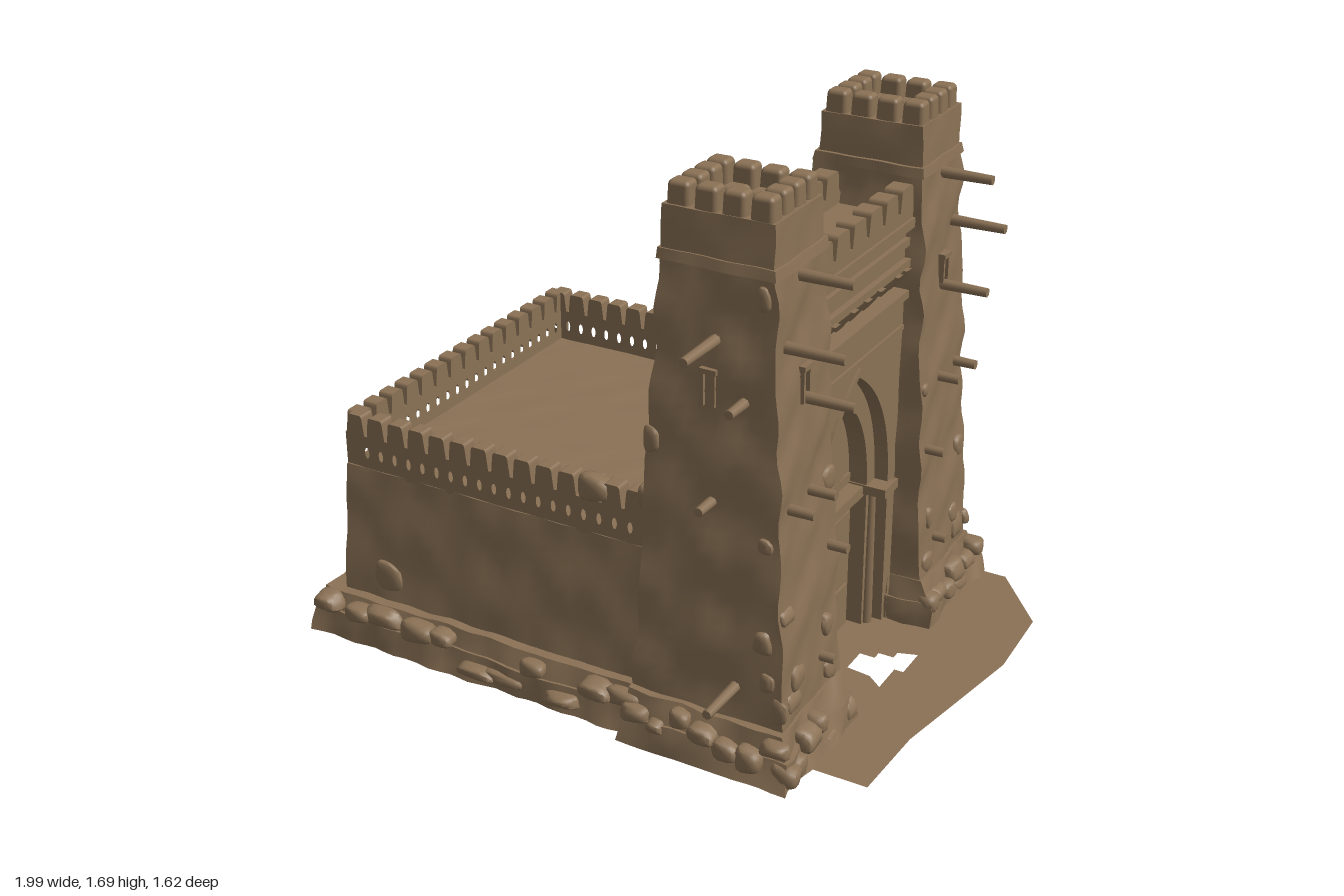
import * as THREE from 'three';
import { toCreasedNormals } from 'three/addons/utils/BufferGeometryUtils.js';
import { RoundedBoxGeometry } from 'three/addons/geometries/RoundedBoxGeometry.js';

export function createModel() {
  const root = new THREE.Group();
  root.name = 'desertFort';
  const clay = new THREE.MeshStandardMaterial({ color: 0x8a7155 });
  clay.name = 'clay';
  const clayThin = new THREE.MeshStandardMaterial({ color: 0x8a7155, side: THREE.DoubleSide });
  clayThin.name = 'clayThin';

  let seed = 7;
  const rnd = () => (seed = (seed * 16807) % 2147483647) / 2147483647;
  const span = (a, b) => a + (b - a) * rnd();

  const add = (name, geo, parent = root, mat = clay) => {
    const m = new THREE.Mesh(geo, mat);
    m.name = name;
    parent.add(m);
    return m;
  };

  // Weathered surface: smooth offsets that depend only on position
  const rough = (geo, amp) => {
    const p = geo.attributes.position;
    const n = (x, y, z) => Math.sin(23 * x + 9 * y + 1) * Math.sin(19 * y + 11 * z) +
      0.6 * Math.sin(41 * z + 13 * x) * Math.sin(37 * y + 17 * x + 2);
    for (let i = 0; i < p.count; i++) {
      const x = p.getX(i), y = p.getY(i), z = p.getZ(i);
      p.setXYZ(i, x + amp * n(x, y, z), Math.max(0, y + 0.4 * amp * n(z, x, y)), z + amp * n(y + 2, z, x));
    }
    return toCreasedNormals(geo, 0.7);
  };

  // Block tapering from rectangle b to rectangle t, each [x0, x1, z0, z1]
  const taper = (name, y0, y1, b, t = b, parent = root, amp = 0, seg = [1, 1, 1]) => {
    const geo = new THREE.BoxGeometry(1, 1, 1, ...seg);
    const p = geo.attributes.position;
    const mix = THREE.MathUtils.lerp;
    for (let i = 0; i < p.count; i++) {
      const u = p.getX(i) + 0.5, v = p.getY(i) + 0.5, w = p.getZ(i) + 0.5;
      p.setXYZ(i, mix(mix(b[0], b[1], u), mix(t[0], t[1], u), v), mix(y0, y1, v),
        mix(mix(b[2], b[3], w), mix(t[2], t[3], w), v));
    }
    geo.computeVertexNormals();
    return add(name, amp ? rough(geo, amp) : geo, parent);
  };

  const rock = (name, x, y, z, sx, sy, sz, parent = root) => {
    const geo = new THREE.IcosahedronGeometry(1, 2);
    const p = geo.attributes.position, k = rnd() * 9;
    for (let i = 0; i < p.count; i++) {
      const a = p.getX(i), b = p.getY(i), c = p.getZ(i);
      const f = 1 + 0.13 * Math.sin(3 * a + k) * Math.cos(3 * b - k) + 0.08 * Math.sin(4 * c + 2 * k);
      const sq = (q) => Math.sign(q) * Math.pow(Math.abs(q), 0.7) * f;
      p.setXYZ(i, x + sx * sq(a), Math.max(0.004, y + sy * sq(b)), z + sz * sq(c));
    }
    add(name, toCreasedNormals(geo, 0.8), parent);
  };

  const pole = (x0, y0, z0, x1, y1, z1, parent, r = 0.015) => {
    const a = new THREE.Vector3(x0, y0, z0), b = new THREE.Vector3(x1, y1, z1);
    const m = add('beamEnd', new THREE.CylinderGeometry(r * 0.75, r, a.distanceTo(b), 8), parent);
    m.position.copy(a).lerp(b, 0.5);
    m.quaternion.setFromUnitVectors(new THREE.Vector3(0, 1, 0), b.sub(a).normalize());
  };

  const extrude = (shape, depth) => new THREE.ExtrudeGeometry(shape, { depth, bevelEnabled: false, curveSegments: 14 });

  // Parapet strip with rounded merlons and optional loopholes
  const parapet = (len, n, y0, notch, top, thick, holeY) => {
    const s = new THREE.Shape(), w = len / n;
    s.moveTo(-len / 2, y0);
    s.lineTo(-len / 2, notch);
    for (let i = 0; i < n; i++) {
      const x = -len / 2 + i * w;
      s.lineTo(x + 0.07 * w, notch);
      s.lineTo(x + 0.15 * w, top - 0.012);
      s.quadraticCurveTo(x + 0.17 * w, top, x + 0.27 * w, top);
      s.lineTo(x + 0.73 * w, top);
      s.quadraticCurveTo(x + 0.83 * w, top, x + 0.85 * w, top - 0.012);
      s.lineTo(x + 0.93 * w, notch);
    }
    s.lineTo(len / 2, notch);
    s.lineTo(len / 2, y0);
    const holes = holeY ? Math.round(len / 0.052) : 0;
    for (let i = 0; i < holes; i++) {
      const h = new THREE.Path();
      h.absellipse(-len / 2 + (i + 0.5) * len / holes, holeY, 0.008, 0.018, 0, Math.PI * 2, true);
      s.holes.push(h);
    }
    return extrude(s, thick).translate(0, 0, -thick / 2);
  };

  // Courtyard
  const court = new THREE.Group();
  court.name = 'courtyard';
  root.add(court);
  taper('lowerPlinth', 0, 0.09, [-0.98, 0.24, -0.68, 0.68], [-0.97, 0.24, -0.67, 0.67], court, 0.008, [30, 3, 30]);
  taper('upperPlinth', 0.08, 0.15, [-0.96, 0.24, -0.665, 0.665], [-0.945, 0.24, -0.645, 0.645], court, 0.007, [30, 3, 30]);
  taper('courtWalls', 0.13, 0.58, [-0.885, 0.3, -0.615, 0.615], [-0.868, 0.3, -0.587, 0.587], court, 0.004, [30, 12, 30]);
  for (const s of [1, -1]) {
    add('sideParapet', parapet(1.14, 15, 0.57, 0.685, 0.75, 0.05, 0.63), court).position.set(-0.295, 0, s * 0.56);
  }
  const back = add('backParapet', parapet(1.16, 15, 0.57, 0.685, 0.75, 0.05, 0.63), court);
  back.rotation.y = Math.PI / 2;
  back.position.x = -0.842;
  for (const s of [1, -1]) {
    rock('wallStone', 0.02, 0.72, s * 0.565, 0.05, 0.04, 0.035, court);
    rock('wallStone', 0.2, 0.74, s * 0.56, 0.03, 0.045, 0.04, court);
    rock('wallStone', -0.72, 0.23, s * 0.6, 0.05, 0.05, 0.02, court);
    for (let i = 0; i < 11; i++) {
      rock('plinthStone', -0.9 + i * 0.107 + span(-0.02, 0.02), rnd() < 0.6 ? 0.045 : 0.12, s * span(0.66, 0.685),
        span(0.035, 0.075), span(0.02, 0.035), span(0.025, 0.04), court);
    }
  }
  for (let i = 0; i < 11; i++) {
    rock('plinthStone', -0.965, rnd() < 0.6 ? 0.04 : 0.12, -0.6 + i * 0.12 + span(-0.02, 0.02),
      span(0.015, 0.028), span(0.02, 0.035), span(0.03, 0.06), court);
  }

  // Twin towers, s = side
  const buildTower = (s) => {
    const g = new THREE.Group();
    g.name = s > 0 ? 'leftTower' : 'rightTower';
    root.add(g);
    const r = (x0, x1, z0, z1) => (s > 0 ? [x0, x1, z0, z1] : [x0, x1, -z1, -z0]);
    taper('towerFoot', 0, 0.09, r(0.18, 0.725, 0.275, 0.72), r(0.18, 0.71, 0.275, 0.7), g, 0.012, [12, 3, 12]);
    taper('towerFootStep', 0.08, 0.16, r(0.18, 0.7, 0.28, 0.695), r(0.185, 0.68, 0.28, 0.675), g, 0.01, [12, 3, 12]);
    taper('towerShaft', 0.1, 1.5, r(0.185, 0.675, 0.285, 0.655), r(0.255, 0.6, 0.318, 0.602), g, 0.007, [10, 34, 10]);
    taper('towerBand', 1.475, 1.505, r(0.25, 0.61, 0.31, 0.613), r(0.255, 0.605, 0.313, 0.608), g, 0.004, [10, 2, 10]);
    taper('battlementBase', 1.5, 1.625, r(0.263, 0.597, 0.325, 0.603), r(0.265, 0.592, 0.328, 0.6), g, 0.003, [8, 4, 8]);
    for (let i = 0; i < 4; i++) for (let j = 0; j < 4; j++) {
      const inner = (i === 1 || i === 2) && (j === 1 || j === 2);
      const geo = new RoundedBoxGeometry(0.073, inner ? 0.06 : 0.12, 0.063, 2, 0.014);
      const p = geo.attributes.position;
      for (let k = 0; k < p.count; k++) {
        const f = 1 - Math.max(0, p.getY(k)) * 2.5;
        p.setX(k, p.getX(k) * f);
        p.setZ(k, p.getZ(k) * f);
      }
      add('merlon', geo, g).position.set(0.307 + i * 0.0815, inner ? 1.615 : 1.63, s * (0.363 + j * 0.0675));
    }
    // Timber ends on the gate side and the outer side: [y, z, tip x] and [y, x, tip z]
    const front = [[1.45, 0.47, 0.76], [1.275, 0.55, 0.78], [1.1, 0.46, 0.77], [0.81, 0.56, 0.71],
      [0.81, 0.43, 0.71], [0.6, 0.34, 0.71], [0.27, 0.4, 0.71]];
    for (const [y, z, tip] of front) pole(0.52, y, s * z, tip, y, s * z, g, 0.02);
    for (const [y, x, tip] of [[1.28, 0.43, 0.78], [1.12, 0.52, 0.7], [0.81, 0.43, 0.7], [0.26, 0.52, 0.81]]) {
      pole(x, y, s * 0.5, x, y, s * tip, g, 0.019);
    }
    // Slit window surrounds
    for (const e of [-1, 1]) {
      taper('slitJamb', 1.09, 1.19, r(0.41 + e * 0.017, 0.42 + e * 0.017, 0.58, 0.626), undefined, g);
      taper('slitJamb', 1.09, 1.19, r(0.58, 0.632, 0.462 + e * 0.017, 0.472 + e * 0.017), undefined, g);
    }
    taper('slitLintel', 1.185, 1.2, r(0.392, 0.442, 0.58, 0.63), undefined, g);
    taper('slitLintel', 1.185, 1.2, r(0.58, 0.636, 0.442, 0.492), undefined, g);
    // Loose stones around the foot and up the shaft
    for (let i = 0; i < 7; i++) {
      rock('footStone', 0.22 + i * 0.075, span(0.03, 0.13), s * 0.69, span(0.03, 0.05), span(0.02, 0.04), span(0.025, 0.045), g);
      rock('footStone', 0.695, span(0.03, 0.13), s * (0.31 + i * 0.06), span(0.025, 0.045), span(0.02, 0.04), span(0.025, 0.045), g);
    }
    for (const [y, z] of [[0.2, 0.35], [0.22, 0.58], [0.35, 0.36], [0.5, 0.6], [0.28, 0.55], [0.8, 0.33]]) {
      rock('shaftStone', 0.672 - y * 0.055, y, s * z, 0.02, span(0.02, 0.045), span(0.02, 0.04), g);
    }
    for (const [y, x] of [[0.22, 0.66], [0.3, 0.62], [0.42, 0.6], [0.95, 0.24], [0.72, 0.6], [1.42, 0.57]]) {
      rock('shaftStone', x, y, s * (0.655 - y * 0.037), span(0.02, 0.035), span(0.02, 0.04), 0.014, g);
    }
  };
  buildTower(1);
  buildTower(-1);

  // Gatehouse between the towers
  const gate = new THREE.Group();
  gate.name = 'gatehouse';
  root.add(gate);
  const arch = (path, w, spring, apex, y0) => {
    const c = spring + 0.68 * (apex - spring);
    path.moveTo(-w, y0);
    path.lineTo(-w, spring);
    path.quadraticCurveTo(-w, c, 0, apex);
    path.quadraticCurveTo(w, c, w, spring);
    path.lineTo(w, y0);
    path.closePath();
    return path;
  };
  const rect = (w, y0, y1) => new THREE.Shape([[-w, y0], [w, y0], [w, y1], [-w, y1]].map(([a, b]) => new THREE.Vector2(a, b)));
  const slab = (name, shape, x0, x1) => add(name, extrude(shape, x1 - x0).rotateY(Math.PI / 2).translate(x0, 0, 0), gate);
  const holed = (shape, ...holes) => { shape.holes.push(...holes); return shape; };
  const peep = (z) => new THREE.Path().absellipse(z, 1.16, 0.012, 0.012, 0, Math.PI * 2, true);

  slab('core', holed(rect(0.34, 0, 1.34), peep(0.17), peep(-0.17)), 0.325, 0.46);
  slab('outerArch', holed(rect(0.34, 0, 1.11), arch(new THREE.Path(), 0.25, 0.5, 0.96, 0.006)), 0.5, 0.565);
  slab('innerArch', holed(rect(0.3, 0, 1.0), arch(new THREE.Path(), 0.195, 0.5, 0.87, 0.006)), 0.455, 0.52);
  slab('rearArch', holed(rect(0.34, 0.5, 1.11), arch(new THREE.Path(), 0.25, 0.52, 0.96, 0.51)), 0.285, 0.33);
  slab('archMoulding', holed(arch(new THREE.Shape(), 0.28, 0.5, 0.99, 0), arch(new THREE.Path(), 0.262, 0.5, 0.972, 0.004)), 0.55, 0.575);
  [0.165, 0.13, 0.095].forEach((w, i) => slab('tympanum', arch(new THREE.Shape(), w, 0.58, 0.6 + w * 1.25, 0.55), 0.45, 0.466 + i * 0.005));
  slab('archLedge', rect(0.3, 1.0, 1.015), 0.55, 0.573);
  slab('upperLedge', rect(0.31, 1.1, 1.125), 0.44, 0.58);
  slab('rearLedge', rect(0.31, 1.1, 1.125), 0.275, 0.34);
  slab('frieze', rect(0.31, 1.2, 1.34), 0.3, 0.56);
  slab('lowerCornice', rect(0.31, 1.2, 1.225), 0.285, 0.58);
  slab('middleCornice', rect(0.31, 1.265, 1.29), 0.288, 0.575);
  slab('upperCornice', rect(0.31, 1.325, 1.355), 0.28, 0.588);
  for (const z of [-0.27, -0.21, -0.09, 0, 0.09, 0.21, 0.27]) {
    taper('bracket', 1.135, 1.205, [0.45, 0.54, z - 0.016, z + 0.016], [0.45, 0.595, z - 0.016, z + 0.016], gate);
    taper('rearBracket', 1.135, 1.205, [0.3, 0.34, z - 0.016, z + 0.016], [0.25, 0.34, z - 0.016, z + 0.016], gate);
  }
  for (const x of [0.31, 0.55]) {
    const p = add('gateParapet', parapet(0.64, 6, 1.34, 1.39, 1.46, 0.058), gate);
    p.rotation.y = Math.PI / 2;
    p.position.x = x;
  }

  // Door leaves, panels and lintel
  slab('doorLintel', rect(0.2, 0.465, 0.5), 0.45, 0.51);
  slab('lintelTrim', rect(0.17, 0.52, 0.55), 0.45, 0.475);
  for (const s of [1, -1]) {
    const box = (name, x, y0, y1, z0, z1) => taper(name, y0, y1, [0.45, x, Math.min(s * z0, s * z1), Math.max(s * z0, s * z1)], undefined, gate);
    box('doorLeaf', 0.472, 0.005, 0.46, 0.008, 0.185);
    for (const [y0, y1] of [[0.04, 0.16], [0.2, 0.3], [0.34, 0.42]]) box('doorPanel', 0.481, y0, y1, 0.035, 0.165);
    box('impost', 0.585, 0.475, 0.505, 0.19, 0.285);
    pole(0.525, 0.005, s * 0.225, 0.525, 0.48, s * 0.225, gate, 0.018);
  }
  pole(0.475, 0.005, 0, 0.475, 0.46, 0, gate, 0.01);

  // Ground sheet before the gate, with its ragged gap
  const pts = (list) => list.map(([a, b]) => new THREE.Vector2(a, b));
  const ground = new THREE.Shape(pts([[0.3, -0.7], [0.81, -0.7], [0.99, -0.48], [1.0, -0.2], [0.95, 0.08], [0.91, 0.3], [0.9, 0.57], [0.3, 0.57]]));
  ground.holes.push(new THREE.Path(pts([[0.59, -0.04], [0.64, -0.04], [0.64, -0.07], [0.69, -0.07], [0.69, -0.1],
    [0.75, -0.12], [0.75, -0.01], [0.72, -0.01], [0.72, 0.1], [0.67, 0.06], [0.59, 0.05]])));
  add('groundSheet', new THREE.ShapeGeometry(ground).rotateX(Math.PI / 2).translate(0, 0.006, 0), root, clayThin);

  return root;
}
